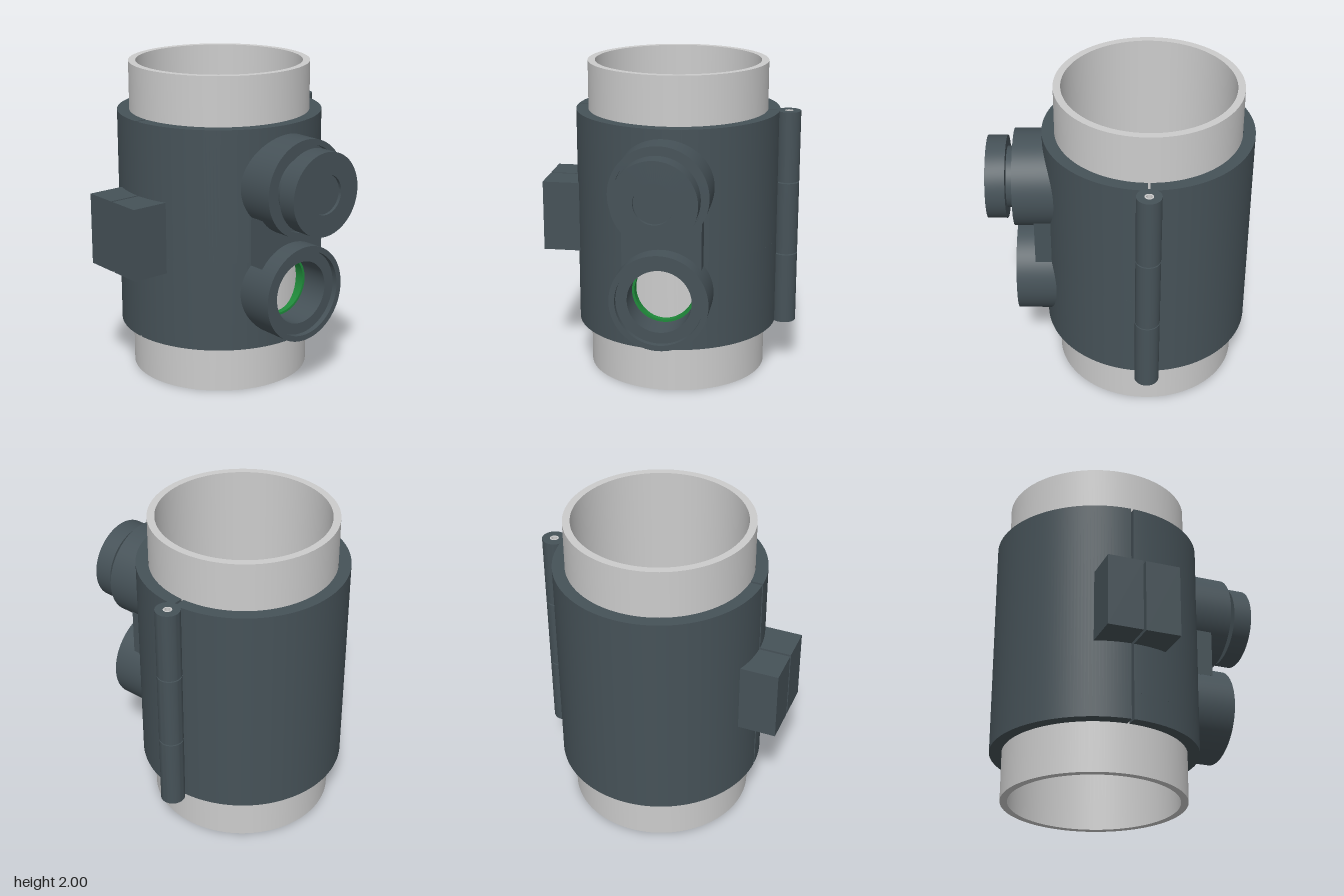
import * as THREE from 'three';
import { toCreasedNormals } from 'three/addons/utils/BufferGeometryUtils.js';

const CX = -0.172, CZ = -0.033;          // pipe axis
const R_IN = 0.568, R_OUT = 0.643;       // clamp shell radii
const Y0 = 0.305, Y1 = 1.695;            // clamp height range
const GAP = 0.008;                       // half width of the split

const material = (name, color) => {
  const m = new THREE.MeshStandardMaterial({ color });
  m.name = name;
  return m;
};

// Closed profile [radius, height] turned around y
function turned(profile, segments = 96) {
  const pts = profile.map(([r, y]) => new THREE.Vector2(r, y));
  return toCreasedNormals(new THREE.LatheGeometry(pts, segments), 0.5);
}

// Tube with a wall, standing on y0
const ring = (rOut, rIn, y0, y1, segments) =>
  turned([[rIn, y0], [rOut, y0], [rOut, y1], [rIn, y1], [rIn, y0]], segments);

// Curved wall between two angles (0 = +x, positive towards the back)
function wall(a0, a1, y0, y1) {
  const s = new THREE.Shape();
  s.absarc(0, 0, R_OUT, a0, a1, false);
  s.absarc(0, 0, R_IN, a1, a0, true);
  s.closePath();
  const g = new THREE.ExtrudeGeometry(s, { depth: y1 - y0, bevelEnabled: false, curveSegments: 48 });
  g.rotateX(-Math.PI / 2).translate(CX, y0, CZ);
  return toCreasedNormals(g, 0.5);
}

export function createModel() {
  const model = new THREE.Group();
  const slate = material('slate plastic', 0x465258);
  const grey = material('light grey', 0xcccccc);
  const green = material('green rubber', 0x1f8a3a);

  const add = (name, geometry, mat, parent = model) => {
    const mesh = new THREE.Mesh(geometry, mat);
    mesh.name = name;
    parent.add(mesh);
    return mesh;
  };
  const group = (name) => {
    const g = new THREE.Group();
    g.name = name;
    model.add(g);
    return g;
  };
  const box = (name, x0, x1, y0, y1, z0, z1, parent) => add(name,
    new THREE.BoxGeometry(x1 - x0, y1 - y0, z1 - z0)
      .translate((x0 + x1) / 2, (y0 + y1) / 2, (z0 + z1) / 2), slate, parent);

  // Main pipe
  add('pipe', ring(0.567, 0.522, 0, 2, 128).translate(CX, 0, CZ), grey);

  // Clamp halves; the one with ports is left open behind the lower port
  const H = Math.PI / 2, g = GAP / R_OUT, w = 0.357;
  const portLow = 0.67, portHigh = 1.335, hw = 0.2;
  add('clampHalfPlain', wall(H + g, 3 * H - g, Y0, Y1), slate);
  const half = group('clampHalfWithPorts');
  add('upperWall', wall(-H + g, H - g, portLow + hw, Y1), slate, half);
  add('lowerWall', wall(-H + g, H - g, Y0, portLow - hw), slate, half);
  add('frontWall', wall(-H + g, -w, portLow - hw, portLow + hw), slate, half);
  add('backWall', wall(w, H - g, portLow - hw, portLow + hw), slate, half);

  // Closing lugs at the front
  const lugs = group('closingLugs');
  box('lugRight', -0.4, CX - GAP, 0.78, 1.23, 0.56, 0.805, lugs);
  box('lugLeft', CX + GAP, 0.053, 0.78, 1.23, 0.56, 0.805, lugs);

  // Hinge knuckles and hollow pin at the back
  const hinge = group('hinge');
  const hz = -0.733;
  for (const [y0, y1] of [[Y0, 0.763], [0.771, 1.236], [1.244, Y1]]) {
    add('hingeKnuckle', ring(0.075, 0.027, y0, y1, 48).translate(CX, 0, hz), slate, hinge);
  }
  add('hingePin', ring(0.027, 0.018, Y0, Y1, 32).translate(CX, 0, hz), grey, hinge);

  // Ports point along +x
  const addSideways = (name, geometry, y, mat, parent) =>
    add(name, geometry.rotateZ(-Math.PI / 2).translate(0, y, CZ), mat, parent);
  const body = () => turned([
    [0.197, 0.36], [0.302, 0.36], [0.302, 0.645], [0.267, 0.645],
    [0.267, 0.61], [0.197, 0.61], [0.197, 0.36]]);

  const lower = group('openPort');
  addSideways('portBody', body(), portLow, slate, lower);
  addSideways('sealRing', ring(0.197, 0.182, 0.36, 0.43), portLow, green, lower);

  const upper = group('cappedPort');
  addSideways('portBody', body(), portHigh, slate, upper);
  addSideways('capPlug', turned([
    [0, 0.42], [0.19, 0.42], [0.19, 0.69], [0.257, 0.69], [0.257, 0.81],
    [0.122, 0.81], [0.122, 0.79], [0, 0.79]]), portHigh, slate, upper);

  // Web joining the two ports
  box('portWeb', 0.41, 0.525, 0.85, 1.155, CZ - 0.243, CZ + 0.243);

  return model;
}
